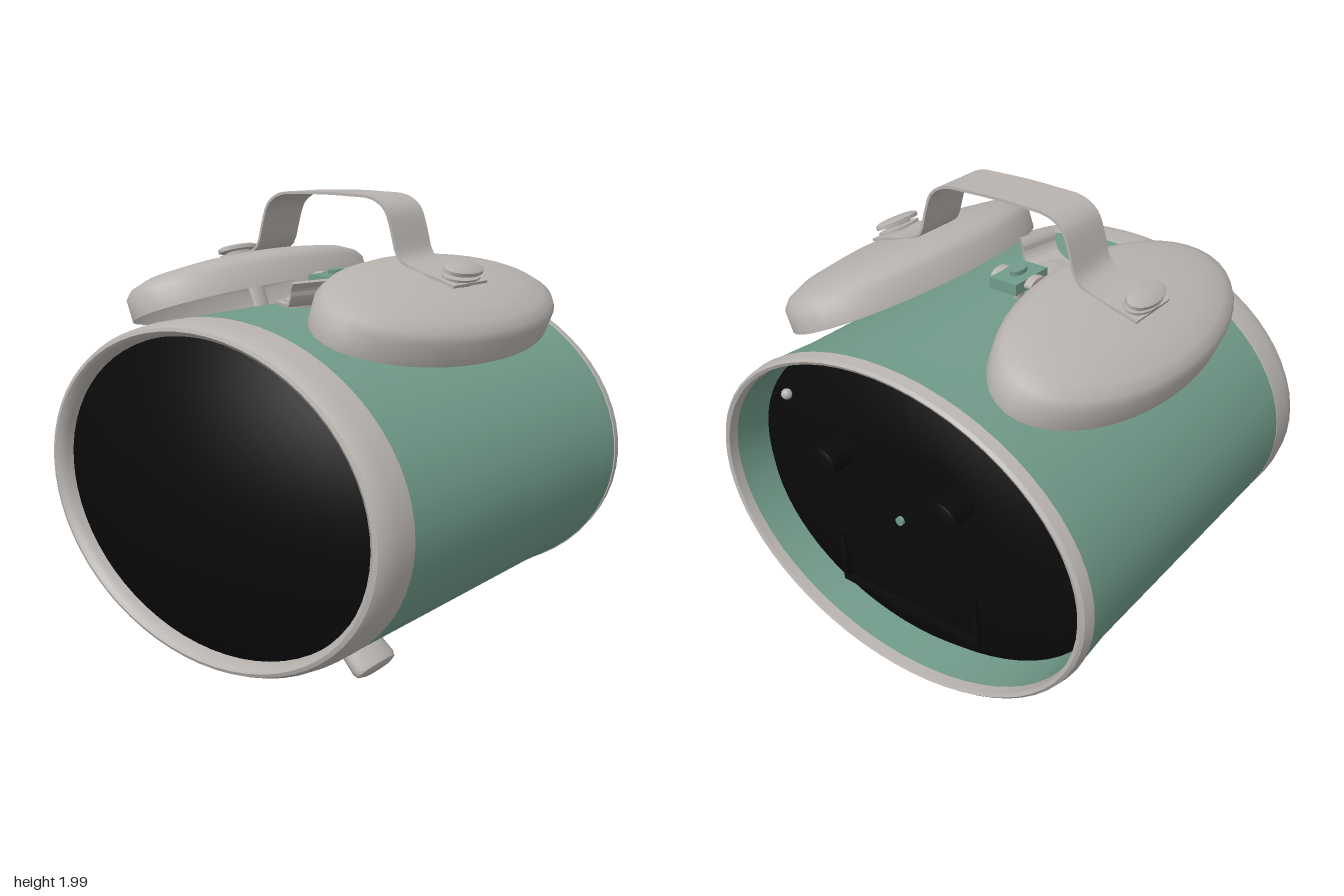
import * as THREE from 'three';
import { toCreasedNormals } from 'three/addons/utils/BufferGeometryUtils.js';

const green = new THREE.MeshStandardMaterial({ name: 'sage green enamel', color: 0x719b8a, side: THREE.DoubleSide });
const metal = new THREE.MeshStandardMaterial({ name: 'warm grey metal', color: 0xb8b3af, side: THREE.DoubleSide });
const black = new THREE.MeshStandardMaterial({ name: 'black', color: 0x0a0a0a, side: THREE.DoubleSide });

const CENTER_Y = 0.765, OVAL = 0.76;   // case centre and height / width ratio
const DEPTH = 2.08;                    // round fittings are stretched along z
const MID_Z = -0.09;                   // z of bells and handle

function add(parent, name, geometry, material, x = 0, y = 0, z = 0) {
  const mesh = new THREE.Mesh(geometry, material);
  mesh.name = name;
  mesh.position.set(x, y, z);
  parent.add(mesh);
  return mesh;
}

function lathe(profile, segments = 32) {
  const points = profile.map(([r, h]) => new THREE.Vector2(r, h));
  return toCreasedNormals(new THREE.LatheGeometry(points, segments), 0.65);
}

// Oval ring or dish around the z axis; profile is [radius, z]
function oval(profile) {
  return lathe(profile, 64).rotateX(Math.PI / 2).scale(1, OVAL, 1);
}

// Bent sheet: a smooth path in x, y with a thickness, extruded along z
function strip(points, thickness, width) {
  const curve = new THREE.CatmullRomCurve3(points.map(([x, y]) => new THREE.Vector3(x, y, 0)));
  const n = 48, upper = [], lower = [];
  for (let i = 0; i <= n; i++) {
    const p = curve.getPoint(i / n), t = curve.getTangent(i / n);
    const dx = -t.y * thickness / 2, dy = t.x * thickness / 2;
    upper.push(new THREE.Vector2(p.x + dx, p.y + dy));
    lower.unshift(new THREE.Vector2(p.x - dx, p.y - dy));
  }
  const geo = new THREE.ExtrudeGeometry(new THREE.Shape([...upper, ...lower]), { depth: width, bevelEnabled: false });
  return toCreasedNormals(geo.translate(0, 0, -width / 2), 0.6);
}

function buildCase(model) {
  const g = new THREE.Group();
  g.name = 'case';
  g.position.y = CENTER_Y;
  model.add(g);
  add(g, 'caseShell', oval([[0.955, -0.72], [0.965, -0.92], [0.995, -0.92], [0.99, -0.82], [0.982, -0.7], [0.98, 0.67]]), green);
  add(g, 'innerWall', oval([[0.955, -0.93], [0.945, -0.7]]), green);
  add(g, 'backRim', oval([[0.955, -0.92], [0.958, -0.975], [0.975, -0.982], [0.99, -0.97], [1.0, -0.92], [0.985, -0.915]]), metal);
  add(g, 'frontBezel', oval([[0.97, 0.655], [0.982, 0.665], [0.982, 0.77], [0.972, 0.83], [0.955, 0.857],
    [0.935, 0.863], [0.915, 0.85], [0.902, 0.82], [0.9, 0.77]]), metal);

  // Domed black front
  const dome = [];
  for (let i = 0; i <= 12; i++) {
    const r = 0.91 * (1 - i / 12);
    dome.push([r, 1 - 0.263 * r * r]);
  }
  add(g, 'frontGlass', oval(dome), black);

  // Recessed back panel with its fittings
  add(g, 'backPanel', oval([[0, -0.88], [0.5, -0.865], [0.85, -0.82], [0.92, -0.77], [0.955, -0.745]]), black);
  for (const s of [-1, 1]) {
    const knob = add(g, 'backKnob', lathe([[0, -0.07], [0.06, -0.07], [0.06, 0.055], [0.072, 0.06], [0.072, 0.075], [0.06, 0.082], [0, 0.082]]),
      black, s * 0.325, 0.215, -0.918);
    knob.rotation.x = -Math.PI / 2;
    add(g, 'hatchSide', new THREE.BoxGeometry(0.02, 0.28, 0.03), black, s * 0.38, -0.36, -0.86);
    add(g, 'hatchEdge', new THREE.BoxGeometry(0.78, 0.02, 0.03), black, 0, -0.36 + s * 0.14, -0.86);
  }
  add(g, 'hatchLatch', new THREE.BoxGeometry(0.22, 0.05, 0.04), black, 0, -0.5, -0.855);
  const spindle = add(g, 'spindle', new THREE.CylinderGeometry(0.02, 0.02, 0.04, 12), green, 0, 0, -0.875);
  spindle.rotation.x = Math.PI / 2;
  add(g, 'smallSwitch', new THREE.SphereGeometry(0.025, 12, 8), metal, 0.68, 0.36, -0.84);
}

function buildBell(model, s) {
  const g = new THREE.Group();
  g.name = s > 0 ? 'leftBell' : 'rightBell';
  g.position.set(s * 0.527, 1.465, MID_Z);
  g.rotation.z = -s * 0.365;
  g.scale.z = DEPTH;
  model.add(g);
  add(g, 'bellDome', lathe([[0.36, 0], [0.361, 0.1], [0.345, 0.135], [0.305, 0.165], [0.22, 0.19], [0.11, 0.203], [0, 0.207]], 40), metal);
  add(g, 'bellPost', new THREE.CylinderGeometry(0.024, 0.024, 0.33, 16), metal, 0, 0.04, 0);
  // Stacked screw and washers
  add(g, 'bellScrew', lathe([[0, 0.19], [0.045, 0.195], [0.045, 0.212], [0.028, 0.216], [0.028, 0.226], [0.058, 0.23],
    [0.058, 0.24], [0.035, 0.244], [0.035, 0.252], [0.06, 0.256], [0.06, 0.272], [0.05, 0.28], [0, 0.282]], 24), metal, s * 0.045, 0, 0);
}

function buildFoot(model, s) {
  const foot = add(model, s > 0 ? 'leftFoot' : 'rightFoot',
    lathe([[0, -0.1], [0.04, -0.1], [0.056, -0.09], [0.061, -0.07], [0.055, 0.1], [0, 0.1]], 24),
    metal, s * 0.545, 0.115, 0.415);
  foot.rotation.z = s * 0.85;
  foot.scale.z = DEPTH;
}

function buildTopParts(model) {
  // Carrying handle, mirrored about the middle
  const half = [[0.7, 1.635], [0.62, 1.66], [0.5, 1.69], [0.415, 1.735], [0.375, 1.85], [0.34, 1.935], [0.27, 1.98], [0.14, 1.99]];
  const path = [...half.map(([x, y]) => [-x, y]), [0, 1.993], ...half.slice().reverse()];
  add(model, 'handle', strip(path, 0.012, 0.255), metal, 0, 0, MID_Z);

  // Hammer on its post
  const hammer = new THREE.Group();
  hammer.name = 'hammer';
  hammer.position.set(-0.032, 1.6, MID_Z);
  hammer.scale.z = DEPTH;
  model.add(hammer);
  add(hammer, 'hammerHead', new THREE.BoxGeometry(0.14, 0.05, 0.11), green);
  for (const s of [-1, 1]) {
    const face = add(hammer, 'hammerFace', new THREE.CylinderGeometry(0.028, 0.028, 0.04, 16), metal, s * 0.088, 0, 0);
    face.rotation.z = Math.PI / 2;
  }
  add(hammer, 'hammerPost', new THREE.CylinderGeometry(0.015, 0.015, 0.15, 12), metal, 0, -0.05, 0);
  add(hammer, 'hammerTip', new THREE.CylinderGeometry(0.025, 0.025, 0.02, 12), green, 0, 0.035, 0);

  // Stop lever: a curled plate held by an oval washer
  const lever = strip([[-0.05, 1.53], [0.05, 1.53], [0.1, 1.54], [0.125, 1.575], [0.13, 1.61], [0.15, 1.64]], 0.014, 0.2);
  const shear = new THREE.Matrix4().set(1, 0, -0.2, 0, 0, 1, 0, 0, 0.55, 0, 1, 0, 0, 0, 0, 1);
  add(model, 'stopLever', lever.applyMatrix4(shear), metal, 0, 0, 0.21);
  const washer = add(model, 'leverWasher', lathe([[0, -0.03], [0.058, -0.03], [0.058, 0.01], [0.045, 0.018], [0, 0.02]], 24), metal, -0.004, 1.535, 0.16);
  washer.scale.z = DEPTH;
}

export function createModel() {
  const model = new THREE.Group();
  model.name = 'alarmClock';
  buildCase(model);
  for (const s of [-1, 1]) {
    buildBell(model, s);
    buildFoot(model, s);
  }
  buildTopParts(model);
  return model;
}
